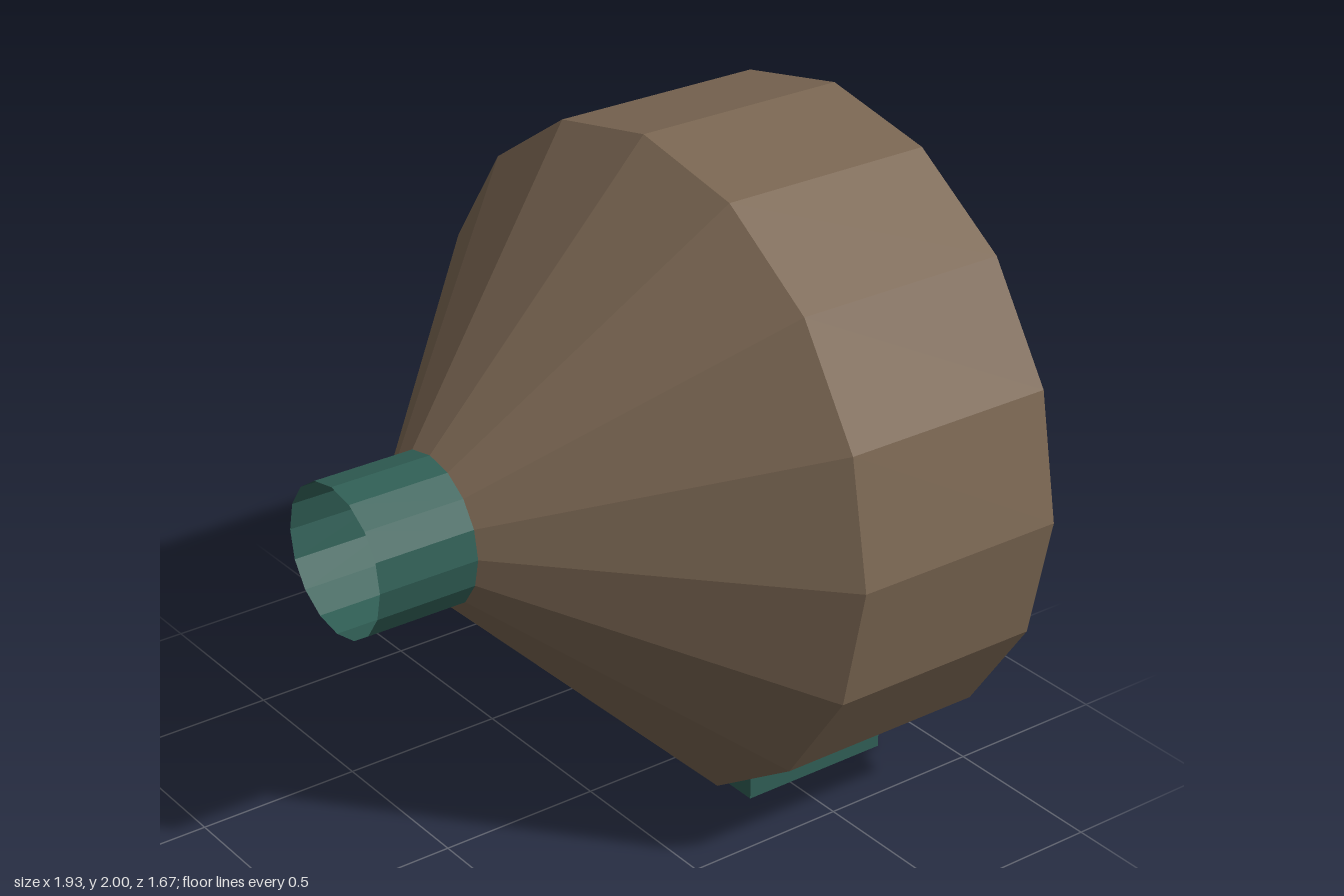
import * as THREE from 'three';

const AXIS_Y = 1.035; // height of the funnel's axis
const SIDES = 16;
const STEP = (Math.PI * 2) / SIDES;

function material(color) {
  return new THREE.MeshStandardMaterial({ color, flatShading: true, side: THREE.DoubleSide });
}

// Open faceted shell along z, leaving out `gap` facets on each side of the bottom
function shell(name, rFront, rBack, zFront, zBack, gap, mat) {
  const geo = new THREE.CylinderGeometry(
    rFront, rBack, zFront - zBack, SIDES - 2 * gap, 1, true,
    gap * STEP, Math.PI * 2 - 2 * gap * STEP
  );
  geo.rotateX(Math.PI / 2);
  const mesh = new THREE.Mesh(geo, mat);
  mesh.name = name;
  mesh.position.set(0, AXIS_Y, (zFront + zBack) / 2);
  return mesh;
}

export function createModel() {
  const group = new THREE.Group();
  group.name = 'slottedFunnel';
  const brown = material(0x7a6652);
  const green = material(0x2f5d54);

  // Slotted body: cone in front, straight collar behind
  group.add(shell('cone', 0.22, 0.965, 0.528, -0.175, 1, brown));
  group.add(shell('collar', 0.965, 0.965, -0.175, -0.836, 1, brown));

  // Complete ring of the front spout
  group.add(shell('spout', 0.22, 0.22, 0.836, 0.528, 0, green));

  // Flat block under the slot
  const block = new THREE.Mesh(new THREE.BoxGeometry(0.61, 0.132, 0.486), green);
  block.name = 'baseBlock';
  block.position.set(0, 0.066, -0.593);
  group.add(block);

  return group;
}
